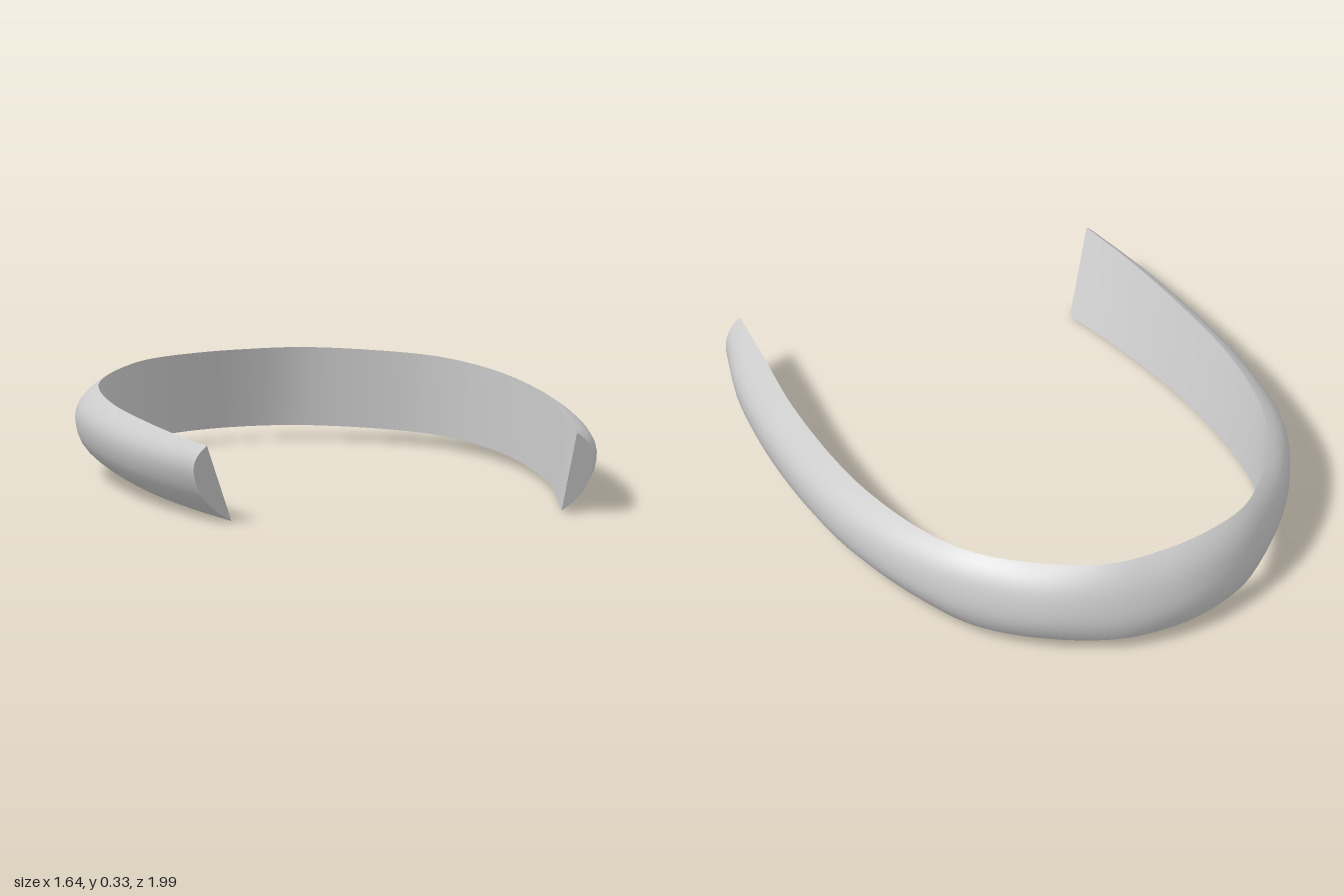
import * as THREE from 'three';
import { toCreasedNormals } from 'three/addons/utils/BufferGeometryUtils.js';

// Stations from one end, round the back, to the other end:
// top edge x,z / bottom edge x,z / outermost middle x,z
const STATIONS = [
  [-0.69, 0.86, -0.575, 0.77, -0.72, 0.83],
  [-0.725, 0.62, -0.62, 0.57, -0.77, 0.6],
  [-0.75, 0.3, -0.665, 0.28, -0.808, 0.3],
  [-0.755, 0, -0.68, 0, -0.818, 0],
  [-0.715, -0.3, -0.66, -0.3, -0.79, -0.31],
  [-0.66, -0.46, -0.615, -0.48, -0.735, -0.48],
  [-0.54, -0.65, -0.535, -0.67, -0.615, -0.675],
  [-0.38, -0.81, -0.38, -0.85, -0.4, -0.865],
  [-0.19, -0.88, -0.19, -0.945, -0.2, -0.955],
  [0, -0.9, 0, -0.975, 0, -0.985],
  [0.19, -0.88, 0.195, -0.945, 0.2, -0.955],
  [0.4, -0.755, 0.42, -0.81, 0.43, -0.84],
  [0.56, -0.595, 0.58, -0.635, 0.625, -0.635],
  [0.65, -0.39, 0.66, -0.42, 0.735, -0.41],
  [0.7, -0.13, 0.7, -0.15, 0.8, -0.14],
  [0.71, 0.1, 0.7, 0.08, 0.815, 0.1],
  [0.685, 0.45, 0.67, 0.42, 0.79, 0.45],
  [0.63, 0.76, 0.61, 0.7, 0.73, 0.76],
  [0.59, 0.99, 0.56, 0.91, 0.655, 0.96],
];
const ALONG = 108, AROUND = 16;

// Smooth rail through one column pair of the stations, on a gently tilted plane
function rail(column, y) {
  return new THREE.CatmullRomCurve3(STATIONS.map((s) => {
    const x = s[column], z = s[column + 1];
    return new THREE.Vector3(x, y - 0.025 * z + 0.008 * x, z);
  }));
}

function bandGeometry() {
  const top = rail(0, 0.308), bottom = rail(2, 0.028), outer = rail(4, 0.175);

  // D-shaped section: bulging outside from top to bottom, flat inside
  const rings = [];
  for (let i = 0; i <= ALONG; i++) {
    const t = top.getPoint(i / ALONG), b = bottom.getPoint(i / ALONG);
    const bulge = outer.getPoint(i / ALONG).sub(t.clone().lerp(b, 0.5));
    const ring = [];
    for (let j = 0; j <= AROUND; j++) {
      const v = (1 - Math.cos((j / AROUND) * Math.PI)) / 2;
      const amount = 1 - Math.pow(Math.abs(2 * v - 1), 2.5);
      ring.push(t.clone().lerp(b, v).addScaledVector(bulge, amount));
    }
    rings.push(ring);
  }

  const positions = [];
  const tri = (...points) => points.forEach((p) => positions.push(p.x, p.y, p.z));
  const n = AROUND + 1;
  for (let i = 0; i < ALONG; i++) {
    const r = rings[i], s = rings[i + 1];
    for (let j = 0; j < n; j++) {
      const k = (j + 1) % n;
      tri(r[j], s[j], r[k]);
      tri(s[j], s[k], r[k]);
    }
  }

  // End caps
  const first = rings[0], last = rings[ALONG];
  for (let j = 1; j < AROUND; j++) {
    tri(first[0], first[j], first[j + 1]);
    tri(last[0], last[j + 1], last[j]);
  }

  const geometry = new THREE.BufferGeometry();
  geometry.setAttribute('position', new THREE.Float32BufferAttribute(positions, 3));
  return toCreasedNormals(geometry, 0.7);
}

export function createModel() {
  const group = new THREE.Group();
  group.name = 'openBand';
  const band = new THREE.Mesh(
    bandGeometry(),
    new THREE.MeshStandardMaterial({ color: 0xcccccc }),
  );
  band.name = 'curvedBand';
  group.add(band);
  return group;
}
